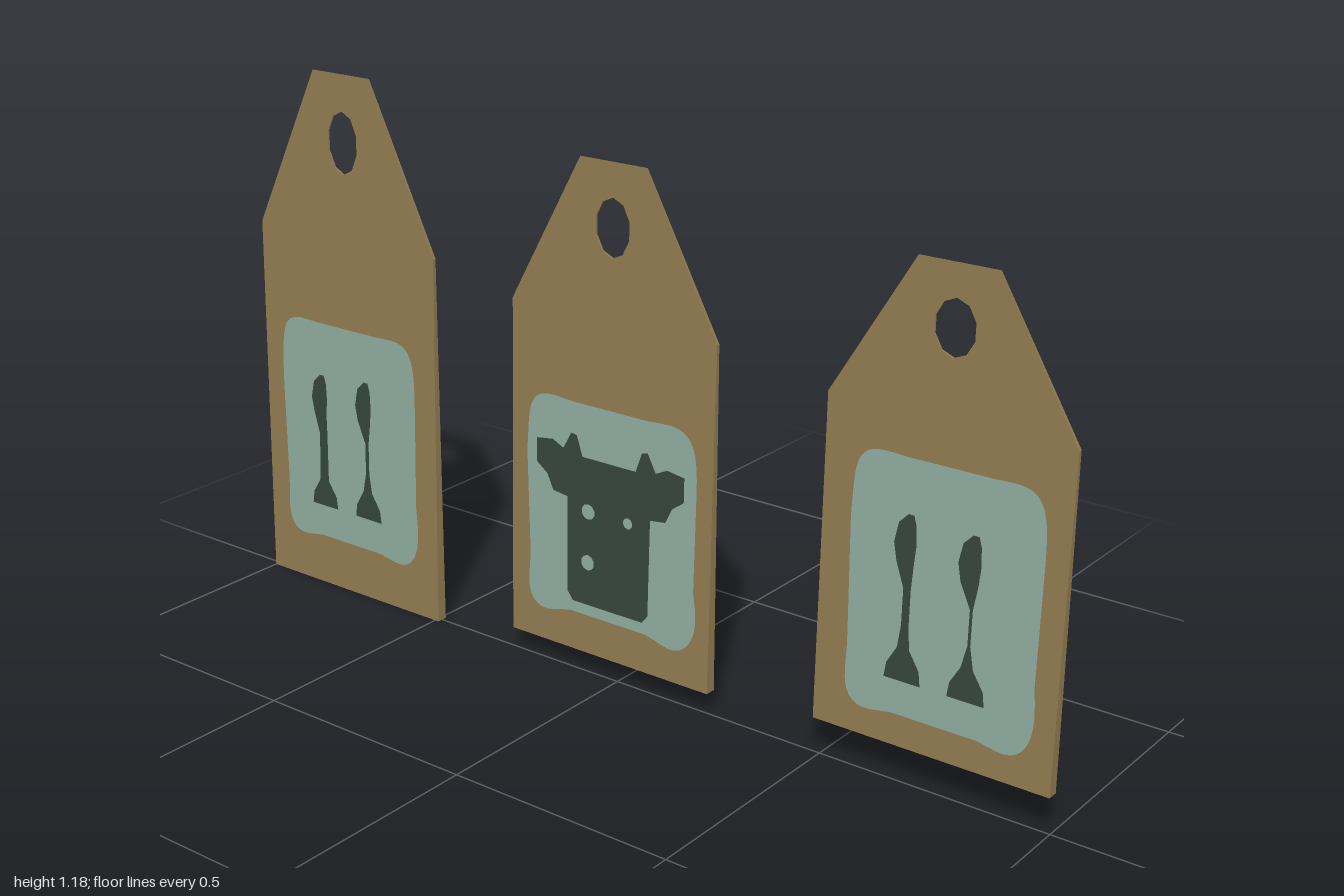
import * as THREE from 'three';

const board = new THREE.MeshStandardMaterial({ color: 0x907b51 });
board.name = 'kraft brown';
const paint = new THREE.MeshStandardMaterial({ color: 0x8eaa9d, side: THREE.DoubleSide });
paint.name = 'pale green';
const ink = new THREE.MeshStandardMaterial({ color: 0x34453a, side: THREE.DoubleSide });
ink.name = 'dark green';

const FRONT = 0.0115;

function ellipse(x, y, rx, ry) {
  return Array.from({ length: 10 }, (_, i) => {
    const a = ((i + 0.5) / 10) * Math.PI * 2;
    return new THREE.Vector2(x + rx * Math.cos(a), y + ry * Math.sin(a));
  });
}

// Rounded rectangle with a slightly uneven edge, for the painted label
function labelShape(left, right, bottom, top, wobble) {
  const cx = (left + right) / 2, cy = (bottom + top) / 2;
  const soft = (v) => Math.sign(v) * Math.abs(v) ** 0.24;
  const outline = Array.from({ length: 96 }, (_, i) => {
    const a = ((i + 0.5) / 96) * Math.PI * 2;
    const x = soft(Math.cos(a)), y = soft(Math.sin(a));
    const rough = wobble * (y < 0 ? 1 : 0.3);
    return new THREE.Vector2(
      cx + x * ((right - left) / 2 + rough * Math.sin(y * 5 + x)),
      cy + y * ((top - bottom) / 2 + rough * Math.cos(x * 8)),
    );
  });
  return new THREE.Shape(outline);
}

// Long leg: broad foot, narrow stem and a head that swells to one side
function legShape(x, bottom, top, stem) {
  const rows = [
    [0, 0.039, 0.039], [0.09, 0.035, 0.035], [0.2, Math.max(stem, 0.012), Math.max(stem, 0.014)],
    [0.34, stem, stem], [0.56, stem, stem], [0.71, 0.011, 0.026],
    [0.82, 0.014, 0.033], [0.94, 0.012, 0.025], [1, 0.006, 0.006],
  ];
  const at = (t) => bottom + t * (top - bottom);
  const rightEdge = rows.map(([t, , r]) => new THREE.Vector2(x + r, at(t)));
  const leftEdge = rows.map(([t, l]) => new THREE.Vector2(x - l, at(t))).reverse();
  return new THREE.Shape([...rightEdge, ...leftEdge]);
}

// Horned front figure: half an outline mirrored, with three round gaps
function hornedShape() {
  const half = [[0.09, 0.16], [0.104, 0.178], [0.106, 0.387], [0.144, 0.392], [0.16, 0.425], [0.188, 0.445],
    [0.188, 0.497], [0.146, 0.503], [0.118, 0.49], [0.097, 0.528], [0.083, 0.525], [0.068, 0.482]];
  const rightEdge = half.map(([x, y]) => new THREE.Vector2(x, y));
  const leftEdge = half.map(([x, y]) => new THREE.Vector2(-x, y)).reverse();
  const shape = new THREE.Shape([...rightEdge, ...leftEdge]);
  for (const [x, y, r] of [[-0.05, 0.366, 0.012], [0.052, 0.366, 0.017], [0.052, 0.254, 0.017]]) {
    shape.holes.push(new THREE.Path(ellipse(x, y, r, r)));
  }
  return shape;
}

const tags = [
  {
    name: 'smallTag', z: 0.745, base: 0.08, height: 0.955,
    label: labelShape(-0.208, 0.192, 0.14, 0.66, 0.006),
    figures: [legShape(-0.072, 0.216, 0.543, 0.003), legShape(0.063, 0.216, 0.55, 0.008)],
  },
  {
    name: 'middleTag', z: -0.0175, base: 0.05, height: 1.05,
    label: labelShape(-0.215, 0.215, 0.127, 0.597, 0.009),
    figures: [hornedShape()],
  },
  {
    name: 'largeTag', z: -0.745, base: 0, height: 1.18,
    label: labelShape(-0.195, 0.204, 0.11, 0.622, 0.006),
    figures: [legShape(-0.052, 0.19, 0.51, 0.005), legShape(0.082, 0.19, 0.5, 0.012)],
  },
];

// The back slopes forward so that the tag thins towards its top
const backX = (tag, y) => FRONT - 0.001 - 0.023 * (1 - (y - tag.base) / tag.height);

// Turns an outline to face +x, then moves each corner to the depth given by a rule
function place(geometry, depthAt) {
  geometry.rotateY(Math.PI / 2);
  const p = geometry.attributes.position;
  for (let i = 0; i < p.count; i++) p.setX(i, depthAt(p.getX(i), p.getY(i)));
  geometry.computeVertexNormals();
  return geometry;
}

// Wedge-shaped board with cut corners and a string hole
function boardGeometry(tag) {
  const up = (t) => tag.base + t * tag.height;
  const corners = [[-0.255, 0], [0.255, 0], [0.255, 0.698], [0.082, 1], [-0.082, 1], [-0.255, 0.698]];
  const shape = new THREE.Shape(corners.map(([a, t]) => new THREE.Vector2(a, up(t))));
  shape.holes.push(new THREE.Path(ellipse(0, up(0.875), 0.043, 0.058 * tag.height)));
  const geometry = new THREE.ExtrudeGeometry(shape, { depth: 1, bevelEnabled: false });
  return place(geometry, (x, y) => (x > 0.5 ? FRONT : backX(tag, y)));
}

// Painted face laid just above the front or the sloping back
function paintedGeometry(tag, shape, lift, onBack) {
  return place(new THREE.ShapeGeometry(shape), (x, y) => (onBack ? backX(tag, y) - lift : FRONT + lift));
}

function add(group, name, geometry, material) {
  const mesh = new THREE.Mesh(geometry, material);
  mesh.name = name;
  group.add(mesh);
}

export function createModel() {
  const model = new THREE.Group();
  model.name = 'hangingTags';
  for (const tag of tags) {
    const group = new THREE.Group();
    group.name = tag.name;
    group.position.z = tag.z;
    add(group, 'board', boardGeometry(tag), board);
    for (const onBack of [false, true]) {
      const side = onBack ? 'Back' : 'Front';
      add(group, 'label' + side, paintedGeometry(tag, tag.label, 0.0012, onBack), paint);
      tag.figures.forEach((f) => add(group, 'figure' + side, paintedGeometry(tag, f, 0.0024, onBack), ink));
    }
    model.add(group);
  }
  return model;
}
